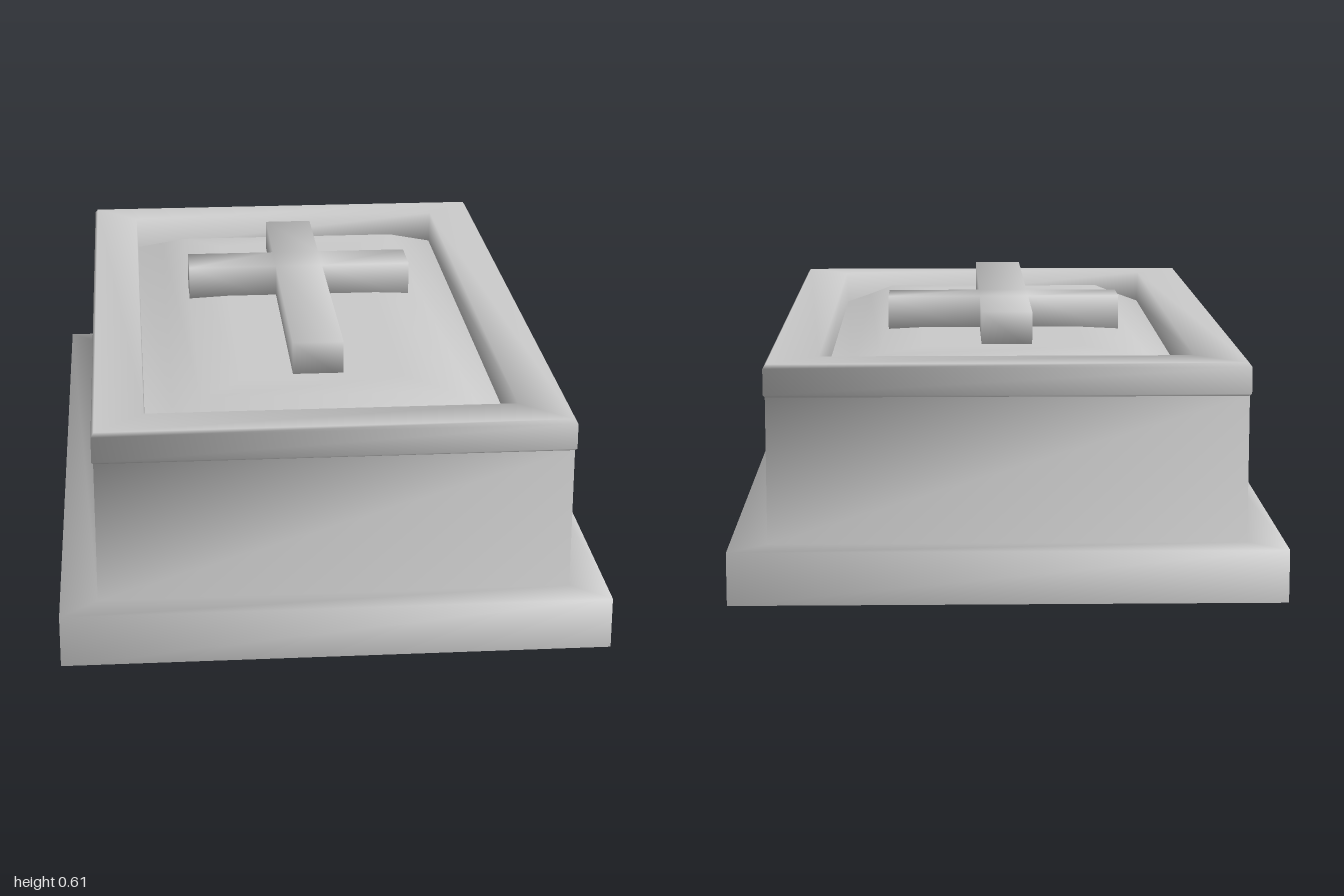
import * as THREE from 'three';
import { mergeVertices } from 'three/addons/utils/BufferGeometryUtils.js';

const material = new THREE.MeshStandardMaterial({ color: 0xcccccc, side: THREE.DoubleSide });

// Joins rectangular rings, each [half width, half depth, height], into a smooth shell.
function rectLoft(name, rings, capped = false) {
  const corners = [[1, 1], [1, -1], [-1, -1], [-1, 1]];
  const positions = [];
  const indices = [];
  for (const [hx, hz, y] of rings) {
    for (const [sx, sz] of corners) positions.push(sx * hx, y, sz * hz);
  }
  for (let r = 0; r < rings.length - 1; r++) {
    for (let i = 0; i < 4; i++) {
      const a = r * 4 + i;
      const b = r * 4 + (i + 1) % 4;
      indices.push(a, b, b + 4, a, b + 4, a + 4);
    }
  }
  if (capped) {
    const c = (rings.length - 1) * 4;
    indices.push(c, c + 1, c + 2, c, c + 2, c + 3);
  }
  const geometry = new THREE.BufferGeometry();
  geometry.setAttribute('position', new THREE.Float32BufferAttribute(positions, 3));
  geometry.setIndex(indices);
  geometry.computeVertexNormals();
  const mesh = new THREE.Mesh(geometry, material);
  mesh.name = name;
  return mesh;
}

// Raised cross lying on the panel, its foot towards the front.
function createCross(bottom, top) {
  const outline = [
    [-0.07, -0.525], [0.054, -0.525], [0.054, 0.102], [0.288, 0.102],
    [0.288, 0.23], [0.054, 0.23], [0.054, 0.527], [-0.07, 0.527],
    [-0.07, 0.23], [-0.302, 0.23], [-0.302, 0.102], [-0.07, 0.102],
  ];
  const shape = new THREE.Shape(outline.map(([x, y]) => new THREE.Vector2(x, y)));
  let geometry = new THREE.ExtrudeGeometry(shape, { depth: top - bottom, bevelEnabled: false });
  geometry.rotateX(-Math.PI / 2);
  geometry.translate(0, bottom, 0);
  // Weld the corners so the shading runs softly over the edges
  geometry.deleteAttribute('normal');
  geometry.deleteAttribute('uv');
  geometry = mergeVertices(geometry);
  geometry.computeVertexNormals();
  const mesh = new THREE.Mesh(geometry, material);
  mesh.name = 'cross';
  return mesh;
}

export function createModel() {
  const group = new THREE.Group();
  group.name = 'stoneTomb';

  // Plinth, ledge and upright walls in one shell, open underneath
  group.add(rectLoft('body', [
    [0.643, 1, 0], [0.643, 1, 0.124], [0.555, 0.918, 0.124], [0.555, 0.918, 0.468],
  ]));

  // Lid rim with softened edges, dropping steeply into a groove around the panel
  group.add(rectLoft('lidRim', [
    [0.553, 0.916, 0.466], [0.559, 0.926, 0.474], [0.559, 0.926, 0.535],
    [0.552, 0.919, 0.545], [0.437, 0.807, 0.545], [0.434, 0.804, 0.46],
  ]));

  // Cushioned panel rising from the groove to carry the cross
  group.add(rectLoft('panel', [
    [0.434, 0.804, 0.46], [0.365, 0.735, 0.492], [0.3, 0.66, 0.525], [0.2, 0.56, 0.53],
  ], true));

  group.add(createCross(0.515, 0.61));
  return group;
}
